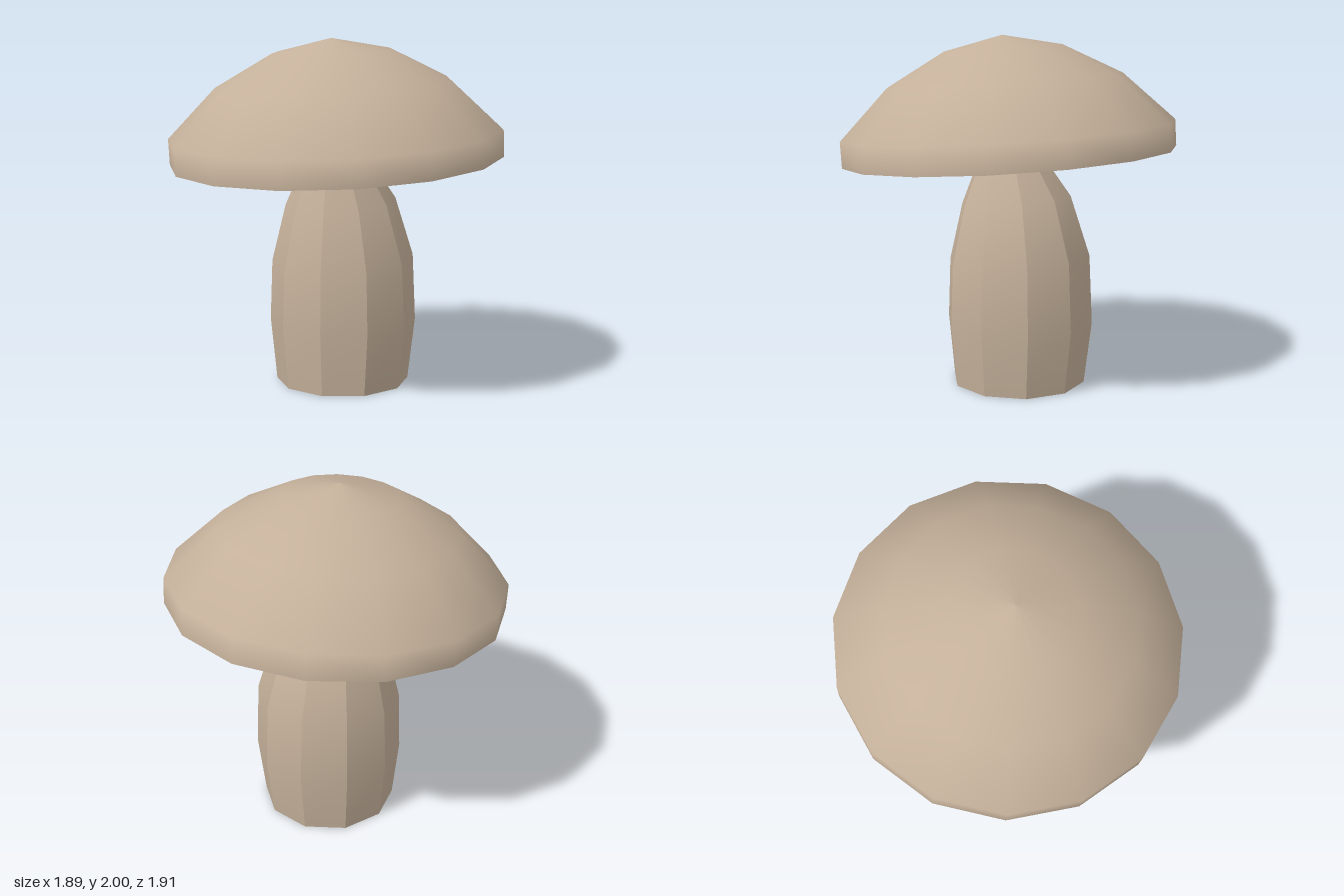
import * as THREE from 'three';

const skin = new THREE.MeshStandardMaterial({ color: 0xc4b09a, side: THREE.DoubleSide });
skin.name = 'mushroom tan';

// Stem rings: centre height, centre z, radius, slope of the ring towards the front
const STEM_RINGS = [
  [0, -0.067, 0.387, 0],
  [0.36, -0.072, 0.426, 0],
  [0.728, -0.068, 0.411, 0.07],
  [1.063, -0.047, 0.318, 0.107],
  [1.38, 0, 0.147, 0.07],
];
const STEM_SIDES = 10;
const CAP_SIDES = 15;

// Faceted around, smooth along its height: each side is its own strip
function stemGeometry() {
  const positions = [];
  const indices = [];
  for (let s = 0; s < STEM_SIDES; s++) {
    const first = positions.length / 3;
    STEM_RINGS.forEach(([y, cz, r, slope], ring) => {
      for (const step of [s, s + 1]) {
        const a = (step / STEM_SIDES) * Math.PI * 2;
        const z = r * Math.sin(a);
        positions.push(-0.01 + r * Math.cos(a), y - z * slope, cz + z);
      }
      if (ring > 0) {
        const b = first + (ring - 1) * 2;
        indices.push(b, b + 2, b + 1, b + 1, b + 2, b + 3);
      }
    });
  }
  const geometry = new THREE.BufferGeometry();
  geometry.setAttribute('position', new THREE.Float32BufferAttribute(positions, 3));
  geometry.setIndex(indices);
  geometry.computeVertexNormals();
  return geometry;
}

export function createModel() {
  const model = new THREE.Group();
  model.name = 'mushroom';

  // Stem, open at the foot
  const stem = new THREE.Mesh(stemGeometry(), skin);
  stem.name = 'stem';
  model.add(stem);

  // Cap, tipped forward
  const cap = new THREE.Group();
  cap.name = 'cap';
  cap.position.set(-0.01, 1.317, -0.004);
  cap.rotation.x = 0.071;
  model.add(cap);

  const profile = [[0.955, 0], [0.955, 0.15], [0.67, 0.43], [0.337, 0.61], [0, 0.683]]
    .map(([r, y]) => new THREE.Vector2(r, y));
  const dome = new THREE.Mesh(new THREE.LatheGeometry(profile, CAP_SIDES, Math.PI / 2), skin);
  dome.name = 'capDome';
  cap.add(dome);

  const underside = new THREE.Mesh(new THREE.CircleGeometry(0.955, CAP_SIDES), skin);
  underside.name = 'capUnderside';
  underside.rotation.x = Math.PI / 2;
  cap.add(underside);

  return model;
}
